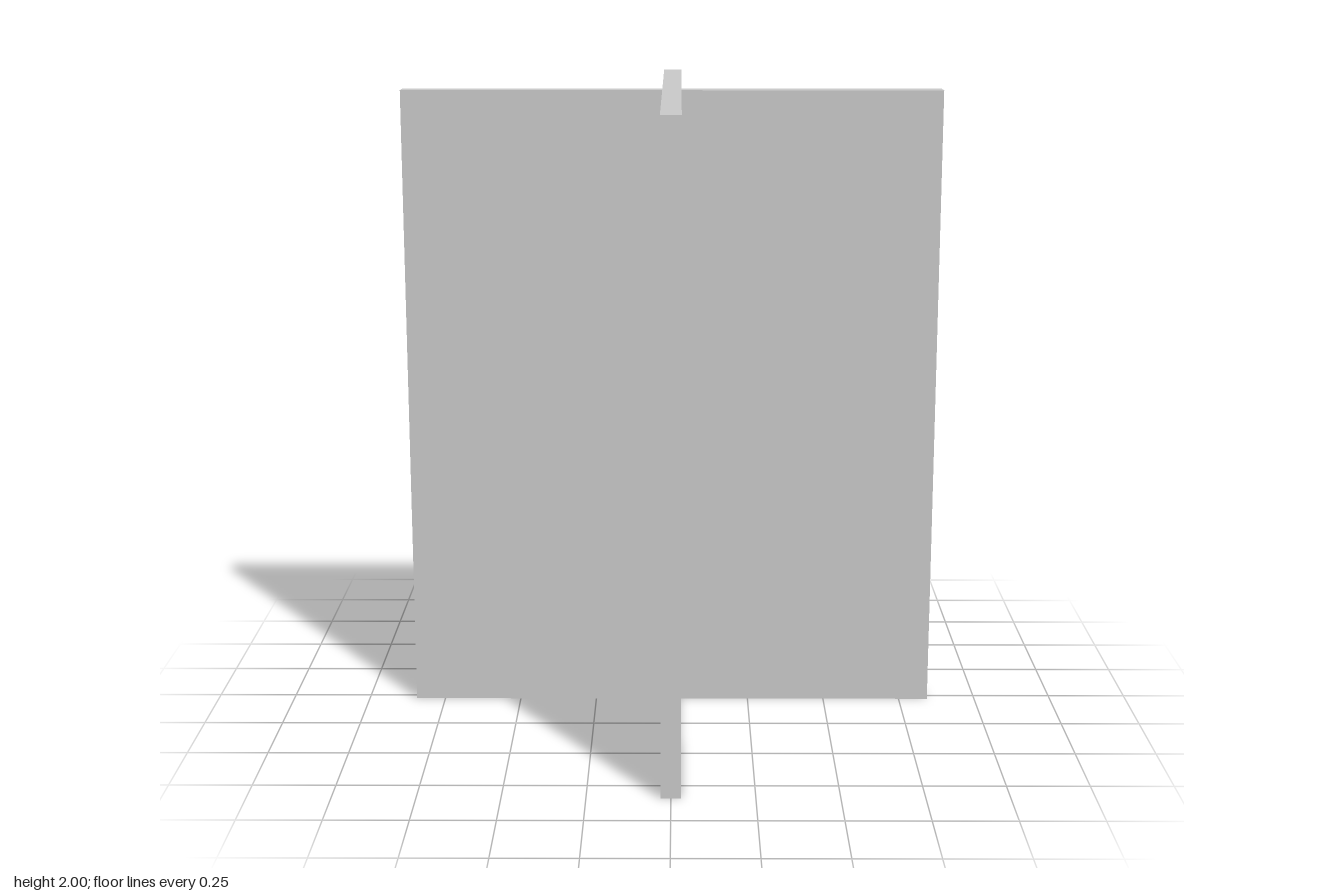
import * as THREE from 'three';

const HEIGHT = 2;
const REACH = 0.844; // half the span of each panel
const HALF = 0.03; // half the panel thickness

export function createModel() {
  const group = new THREE.Group();
  group.name = 'crossedPanels';

  // Plus-shaped outline: three corners per arm, turned four times
  const points = [];
  for (let i = 0; i < 4; i++) {
    const [c, s] = [[1, 0], [0, 1], [-1, 0], [0, -1]][i];
    for (const [x, y] of [[REACH, -HALF], [REACH, HALF], [HALF, HALF]]) {
      points.push(new THREE.Vector2(x * c - y * s, x * s + y * c));
    }
  }

  // Two upright panels joined at the middle, as one solid
  const geometry = new THREE.ExtrudeGeometry(new THREE.Shape(points), {
    depth: HEIGHT,
    bevelEnabled: false,
  });
  geometry.rotateX(-Math.PI / 2);

  const panels = new THREE.Mesh(
    geometry,
    new THREE.MeshStandardMaterial({ color: 0xcccccc, flatShading: true })
  );
  panels.name = 'crossPanels';
  group.add(panels);
  return group;
}
